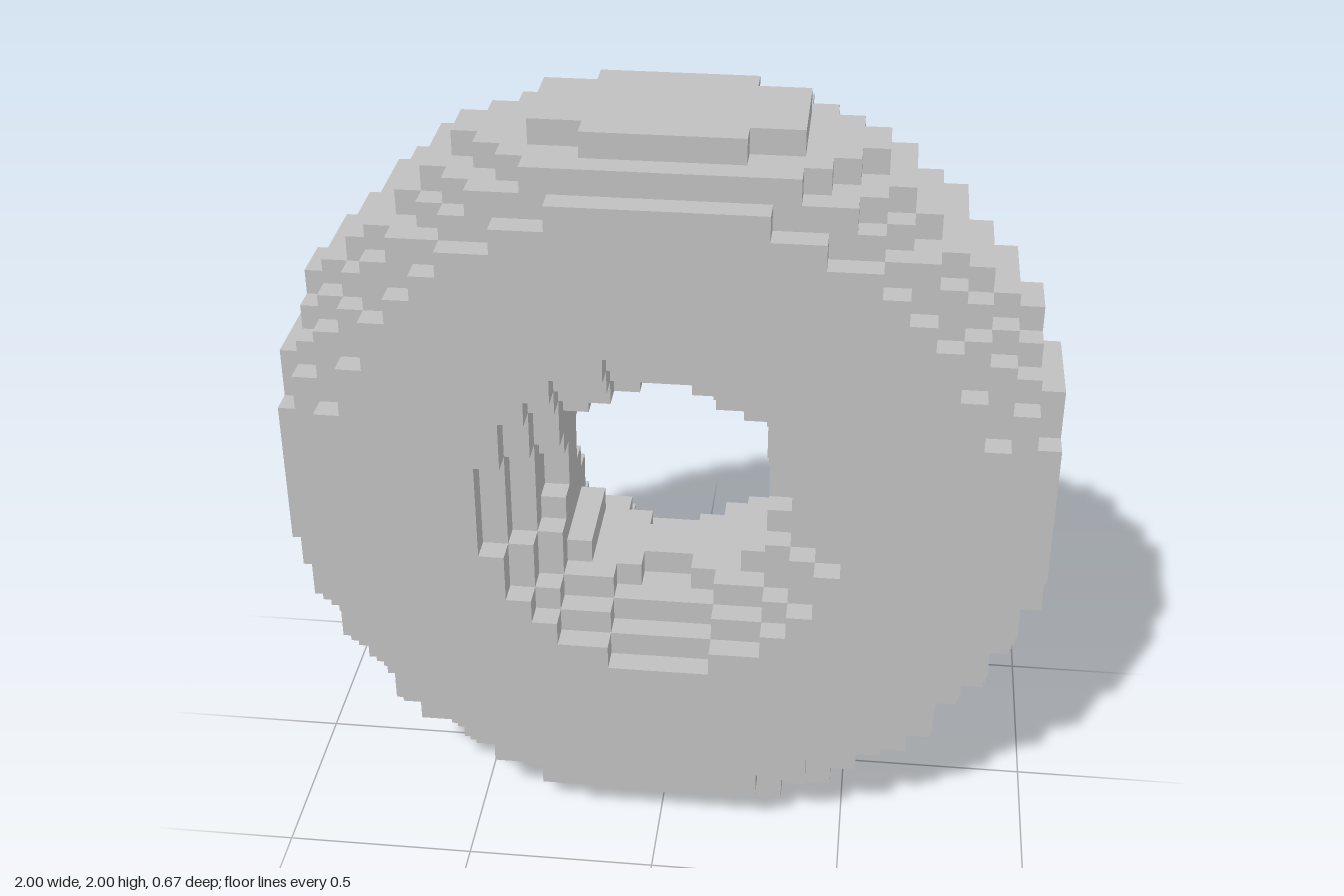
import * as THREE from 'three';

const UNIT = 2 / 30;         // edge of one block
const RING = 10;             // ring radius, in blocks
const TUBE = 5.5;            // tube radius, in blocks
const HALF = 15, DEPTH = 5;  // half extents, in blocks

// A block is filled when its centre lies inside the torus.
function filled(i, j, k) {
  const ring = Math.hypot(i + 0.5, j + 0.5) - RING;
  return ring * ring + (k + 0.5) ** 2 <= TUBE * TUBE;
}

// Collects only the outward block faces, so nothing is hidden inside.
function blockSurface() {
  const positions = [], normals = [];
  const addFace = (cell, axis, sign) => {
    const u = (axis + 1) % 3, v = (axis + 2) % 3;
    const corner = (a, b) => {
      const p = [...cell];
      if (sign > 0) p[axis] += 1;
      p[u] += a;
      p[v] += b;
      return [p[0] * UNIT, (p[1] + HALF) * UNIT, p[2] * UNIT];
    };
    const quad = [corner(0, 0), corner(1, 0), corner(1, 1), corner(0, 1)];
    if (sign < 0) quad.reverse();
    const normal = [0, 0, 0];
    normal[axis] = sign;
    for (const n of [0, 1, 2, 0, 2, 3]) {
      positions.push(...quad[n]);
      normals.push(...normal);
    }
  };

  for (let i = -HALF; i < HALF; i++)
    for (let j = -HALF; j < HALF; j++)
      for (let k = -DEPTH; k < DEPTH; k++) {
        if (!filled(i, j, k)) continue;
        for (let axis = 0; axis < 3; axis++)
          for (const sign of [-1, 1]) {
            const next = [i, j, k];
            next[axis] += sign;
            const outside = Math.abs(next[2] + 0.5) > DEPTH;
            if (outside || !filled(...next)) addFace([i, j, k], axis, sign);
          }
      }

  const geometry = new THREE.BufferGeometry();
  geometry.setAttribute('position', new THREE.Float32BufferAttribute(positions, 3));
  geometry.setAttribute('normal', new THREE.Float32BufferAttribute(normals, 3));
  return geometry;
}

export function createModel() {
  const group = new THREE.Group();
  group.name = 'blockTorus';

  const grey = new THREE.MeshStandardMaterial({ color: 0xc0c0c0 });
  grey.name = 'light grey';

  // Upright ring of stepped blocks
  const ring = new THREE.Mesh(blockSurface(), grey);
  ring.name = 'ring';
  group.add(ring);
  return group;
}
